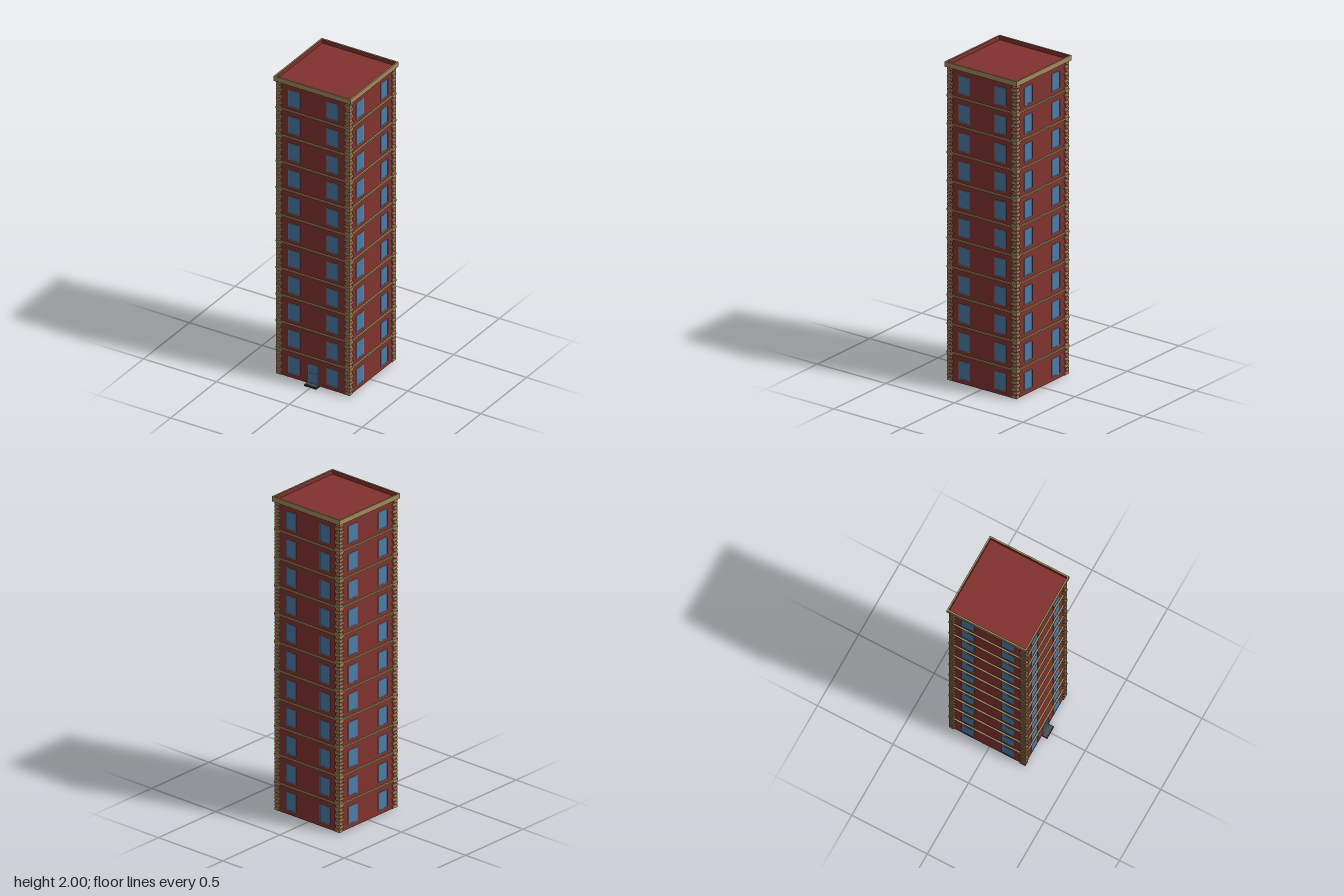
import * as THREE from 'three';
import { mergeGeometries } from 'three/addons/utils/BufferGeometryUtils.js';

const FLOORS = 11, BASE = 0.005, STOREY = 0.1785;
const HALF = 0.246;        // half width of the brick walls
const TOP = BASE + FLOORS * STOREY;

const mat = (color) => new THREE.MeshStandardMaterial({ color, flatShading: true });
const brick = mat(0x81332f), stone = mat(0xa38a5c), rosyStone = mat(0xb0785a);
const glass = mat(0x4a7ca8), frame = mat(0x808a94), dark = mat(0x2e2e30), grey = mat(0x505052);

// Box geometry given by size and centre
function box(w, h, d, x, y, z) {
  return new THREE.BoxGeometry(w, h, d).translate(x, y, z);
}

function part(name, geometries, material) {
  const mesh = new THREE.Mesh(mergeGeometries(geometries), material);
  mesh.name = name;
  return mesh;
}

// Four bars round a rectangle in the xy plane
function border(w, h, bar, depth, x, y, z) {
  return [
    box(w, bar, depth, x, y + (h - bar) / 2, z),
    box(w, bar, depth, x, y - (h - bar) / 2, z),
    box(bar, h - 2 * bar, depth, x - (w - bar) / 2, y, z),
    box(bar, h - 2 * bar, depth, x + (w - bar) / 2, y, z),
  ];
}

// Square ring lying flat, centred on the tower axis
function ring(outer, inner, height, y) {
  const s = new THREE.Shape();
  s.moveTo(-outer, -outer).lineTo(outer, -outer).lineTo(outer, outer).lineTo(-outer, outer).closePath();
  const hole = new THREE.Path();
  hole.moveTo(-inner, -inner).lineTo(-inner, inner).lineTo(inner, inner).lineTo(inner, -inner).closePath();
  s.holes.push(hole);
  return new THREE.ExtrudeGeometry(s, { depth: height, bevelEnabled: false })
    .rotateX(-Math.PI / 2).translate(0, y, 0);
}

export function createModel() {
  const model = new THREE.Group();
  model.name = 'tower';
  const building = new THREE.Group();
  building.name = 'building';
  building.position.z = -0.011;
  model.add(building);

  // Brick body
  building.add(part('walls', [box(2 * HALF, TOP - BASE, 2 * HALF, 0, (TOP + BASE) / 2, 0)], brick));

  // Stone string course between storeys
  const bands = [];
  for (let i = 1; i < FLOORS; i++) {
    bands.push(box(0.512, 0.009, 0.512, 0, BASE + i * STOREY, 0));
  }
  building.add(part('floorBands', bands, stone));

  // Corner quoins, alternating long and short
  const quoins = [[], []], perFloor = 8, course = STOREY / perFloor, out = 0.253;
  for (let i = 0; i < FLOORS * perFloor; i++) {
    const y = BASE + (i + 0.5) * course;
    for (const sx of [-1, 1]) for (const sz of [-1, 1]) {
      const lengthwise = (i % 2 === 0) === (sx * sz > 0);
      const w = lengthwise ? 0.04 : 0.031, d = lengthwise ? 0.031 : 0.04;
      quoins[i % 2].push(box(w, course - 0.005, d, sx * (out - w / 2), y, sz * (out - d / 2)));
    }
  }
  building.add(part('quoins', quoins[0], stone), part('rosyQuoins', quoins[1], rosyStone));

  // Two windows per storey on each of the four sides
  for (let side = 0; side < 4; side++) {
    const panes = [], frames = [];
    for (let i = 0; i < FLOORS; i++) for (const x of [-0.132, 0.132]) {
      const y = BASE + i * STOREY + 0.084;
      panes.push(box(0.074, 0.108, 0.004, x, y, HALF));
      frames.push(...border(0.079, 0.113, 0.003, 0.008, x, y, HALF));
    }
    const windows = new THREE.Group();
    windows.name = 'windows' + side;
    windows.add(part('panes', panes, glass), part('windowFrames', frames, frame));
    windows.rotation.y = side * Math.PI / 2;
    building.add(windows);
  }

  // Parapet with a brick lining, and the roof sunk inside it
  building.add(part('parapet', [ring(0.263, 0.2545, 2 - 0.968 - 1 + 0.936, 1.032).scale(1, 1, 1)].map(
    () => ring(0.263, 0.2545, 0.032, 1.968)), stone));
  building.add(part('parapetLining', [ring(0.2545, 0.2525, 0.031, 1.968)], brick));
  building.add(part('roof', [box(0.508, 0.006, 0.508, 0, 1.971, 0)], brick));

  // Entrance door with a crossbar
  const door = new THREE.Group();
  door.name = 'door';
  door.add(part('doorGlass', [box(0.066, 0.12, 0.005, 0, 0.074, HALF)], glass));
  door.add(part('doorFrame', [
    ...border(0.07, 0.124, 0.003, 0.01, 0, 0.074, HALF),
    box(0.064, 0.004, 0.01, 0, 0.077, HALF),
  ], frame));
  building.add(door);

  // Doorstep with a paler tread
  model.add(part('doorstep', [box(0.084, 0.01, 0.042, 0, 0.005, 0.25)], dark));
  model.add(part('doorstepTread', [box(0.074, 0.004, 0.03, 0, 0.01, 0.25)], grey));
  return model;
}
